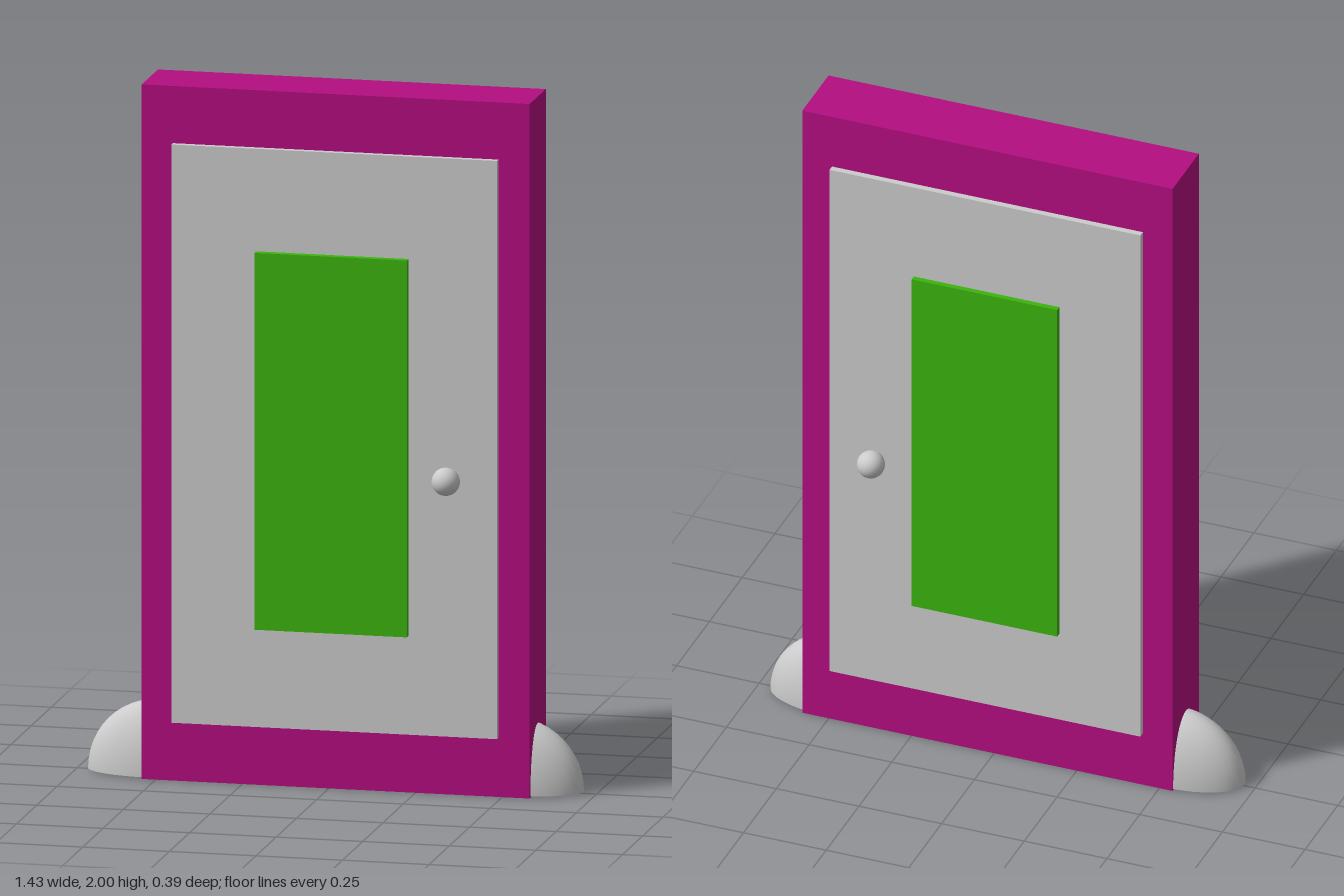
import * as THREE from 'three';

export function createModel() {
  const group = new THREE.Group();
  const grey = new THREE.MeshStandardMaterial({ color: 0xcccccc });
  const greyOpen = new THREE.MeshStandardMaterial({ color: 0xcccccc, side: THREE.DoubleSide });
  const magenta = new THREE.MeshStandardMaterial({ color: 0xb40e80 });
  const green = new THREE.MeshStandardMaterial({ color: 0x3bb40e });

  const add = (name, geometry, material, x, y, z) => {
    const mesh = new THREE.Mesh(geometry, material);
    mesh.name = name;
    mesh.position.set(x, y, z);
    group.add(mesh);
    return mesh;
  };

  // Slabs stacked through the thickness: frame, door leaf, window
  add('frame', new THREE.BoxGeometry(1.12, 2, 0.2), magenta, 0.02, 1, 0);
  add('doorLeaf', new THREE.BoxGeometry(0.94, 1.665, 0.238), grey, 0.02, 1.003, 0);
  add('window', new THREE.BoxGeometry(0.44, 1.085, 0.277), green, 0.015, 0.998, 0.003);

  // A knob on each face
  const knob = new THREE.SphereGeometry(0.04, 32, 16);
  add('frontKnob', knob, grey, 0.35, 0.912, 0.152);
  add('backKnob', knob, grey, 0.35, 0.912, -0.157);

  // Hollow half-ellipsoid feet, open underneath
  const dome = new THREE.SphereGeometry(1, 32, 12, 0, Math.PI * 2, 0, Math.PI / 2);
  for (const [name, x] of [['rightFoot', -0.518], ['leftFoot', 0.513]]) {
    add(name, dome, greyOpen, x, 0.004, 0).scale.set(0.2, 0.205, 0.097);
  }
  return group;
}
